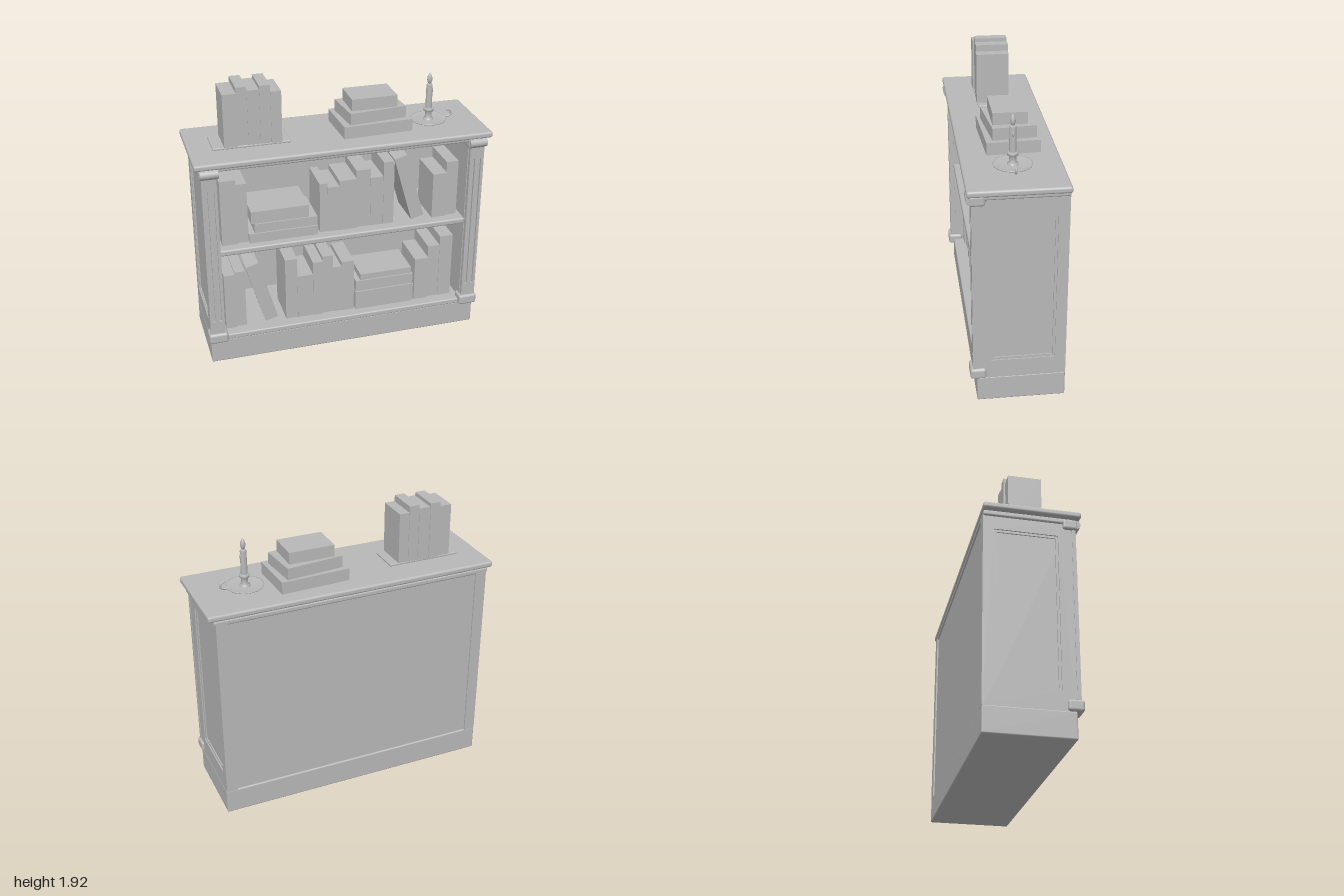
import * as THREE from 'three';
import { RoundedBoxGeometry } from 'three/addons/geometries/RoundedBoxGeometry.js';

export function createModel() {
  const root = new THREE.Group();
  const grey = new THREE.MeshStandardMaterial({ color: 0xb8b8b8 });
  grey.name = 'plain grey';

  const add = (name, geo, parent = root) => {
    const m = new THREE.Mesh(geo, grey);
    m.name = name;
    parent.add(m);
    return m;
  };
  // Box given by its extents; r rounds the edges
  const box = (name, x0, x1, y0, y1, z0, z1, r = 0, parent = root) => {
    const w = x1 - x0, h = y1 - y0, d = z1 - z0;
    const geo = r ? new RoundedBoxGeometry(w, h, d, 3, r) : new THREE.BoxGeometry(w, h, d);
    const m = add(name, geo, parent);
    m.position.set((x0 + x1) / 2, (y0 + y1) / 2, (z0 + z1) / 2);
    return m;
  };
  const rect = (a, b, c, d, T = THREE.Path) => {
    const p = new T();
    p.moveTo(a, c); p.lineTo(b, c); p.lineTo(b, d); p.lineTo(a, d); p.closePath();
    return p;
  };
  // Flat board with rectangular openings, each [x0, x1, y0, y1]
  const pierced = (outer, holes, depth) => {
    const s = rect(...outer, THREE.Shape);
    holes.forEach((h) => s.holes.push(rect(...h)));
    return new THREE.ExtrudeGeometry(s, { depth, bevelEnabled: false });
  };

  // Carcass
  box('plinth', -0.955, 0.955, 0, 0.175, -0.31, 0.26, 0.01);
  box('bottomShelf', -0.94, 0.94, 0.17, 0.21, -0.3, 0.265, 0.01);
  box('middleShelf', -0.86, 0.86, 0.818, 0.86, -0.29, 0.255, 0.012);
  box('backPanel', -0.9, 0.9, 0.17, 1.45, -0.3, -0.28);
  box('corniceMoulding', -0.965, 0.965, 1.44, 1.478, -0.31, 0.27, 0.012);
  box('topBoard', -1, 1, 1.475, 1.517, -0.315, 0.315, 0.015);

  // Sides with a recessed panel, pilasters and blocks, mirrored
  for (const s of [1, -1]) {
    const side = new THREE.Group();
    side.name = s > 0 ? 'leftSide' : 'rightSide';
    root.add(side);
    const span = (a, b) => (s > 0 ? [a, b] : [-b, -a]);
    const u = (z0, z1) => (s > 0 ? [-z1, -z0] : [z0, z1]);

    box('sidePanel', ...span(0.855, 0.937), 0.17, 1.45, -0.295, 0.25, 0, side);
    const frame = add('sideFrame', pierced([...u(-0.31, 0.25), 0.17, 1.45],
      [[...u(-0.24, 0.17), 0.3, 1.35]], 0.03), side);
    const bead = add('panelBead', pierced([...u(-0.24, 0.17), 0.3, 1.35],
      [[...u(-0.224, 0.154), 0.316, 1.334]], 0.022), side);
    for (const m of [frame, bead]) {
      m.rotation.y = s * Math.PI / 2;
      m.position.x = s * 0.923;
    }
    box('backStile', ...span(0.875, 0.95), 0.17, 1.45, -0.31, -0.285, 0, side);

    const fluteXs = [[0.877, 0.895], [0.92, 0.938]];
    const face = add('flutedPilaster', pierced([...span(0.858, 0.957), 0.24, 1.41],
      fluteXs.map((f) => [...span(...f), 0.34, 1.32]), 0.025), side);
    face.position.z = 0.26;
    box('pilasterCore', ...span(0.86, 0.953), 0.2, 1.45, 0.22, 0.268, 0, side);
    box('footBlock', ...span(0.84, 0.97), 0.173, 0.247, 0.2, 0.303, 0.018, side);
    box('capitalBlock', ...span(0.84, 0.97), 1.402, 1.475, 0.2, 0.3, 0.018, side);
    const roll = add('capitalRoll', new THREE.CylinderGeometry(0.03, 0.03, 0.12, 20), side);
    roll.rotation.z = Math.PI / 2;
    roll.position.set(s * 0.905, 1.44, 0.287);
  }

  // Upright books: [left, right, top]
  const uprights = (name, y, z0, z1, list) => list.forEach(([a, b, top], i) => {
    const shift = ((i * 3) % 4) * 0.004;
    box(name, a, b, y, top, z0 - shift, z1 - shift);
  });
  uprights('upperBook', 0.858, -0.09, 0.185, [
    [-0.83, -0.725, 1.33], [-0.725, -0.65, 1.29], [-0.16, -0.105, 1.22], [-0.105, -0.025, 1.19],
    [-0.025, 0.095, 1.23], [0.095, 0.195, 1.285], [0.195, 0.285, 1.22], [0.285, 0.36, 1.325],
    [0.64, 0.74, 1.19], [0.74, 0.825, 1.265]]);
  uprights('lowerBook', 0.208, -0.09, 0.19, [
    [-0.835, -0.76, 0.63], [-0.76, -0.69, 0.64], [-0.41, -0.325, 0.68], [-0.325, -0.215, 0.54],
    [-0.215, -0.145, 0.635], [-0.145, -0.07, 0.665], [-0.07, -0.01, 0.57], [-0.01, 0.08, 0.605],
    [0.53, 0.63, 0.54], [0.63, 0.715, 0.625], [0.715, 0.81, 0.695]]);
  uprights('topBook', 1.53, -0.108, 0.115, [
    [-0.77, -0.68, 1.89], [-0.68, -0.61, 1.925], [-0.61, -0.53, 1.9],
    [-0.53, -0.46, 1.925], [-0.46, -0.39, 1.88]]);

  // Leaning books
  for (const [x, y, h] of [[0.47, 1.112, 0.488], [-0.575, 0.453, 0.465]]) {
    const m = add('leaningBook', new THREE.BoxGeometry(0.092, h, 0.27));
    m.position.set(x, y, 0.045);
    m.rotation.z = 0.275;
  }

  // Lying books: [x0, x1, y0, y1, z0, z1]
  [[-0.65, -0.18, 0.858, 0.928, -0.14, 0.2], [-0.61, -0.18, 0.928, 0.992, -0.12, 0.19],
    [-0.63, -0.235, 0.992, 1.08, -0.12, 0.18], [0.09, 0.517, 0.208, 0.352, -0.12, 0.2],
    [0.095, 0.515, 0.352, 0.432, -0.1, 0.19], [0.13, 0.505, 0.432, 0.478, -0.09, 0.18],
  ].forEach((b) => box('lyingBook', ...b));

  // Stack on the top board, each book turned a little
  [[0.245, -0.02, 0.475, 0.345, 1.515, 1.6, 0.042], [0.245, -0.022, 0.395, 0.285, 1.6, 1.68, 0.1],
    [0.24, -0.018, 0.312, 0.225, 1.68, 1.76, 0],
  ].forEach(([x, z, w, d, y0, y1, turn]) => {
    const m = add('stackedBook', new THREE.BoxGeometry(w, y1 - y0, d));
    m.position.set(x, (y0 + y1) / 2, z);
    m.rotation.y = turn;
  });

  // Bookend plates
  box('bookendLeftPlate', -0.845, -0.58, 1.515, 1.531, -0.11, 0.11, 0.006);
  box('bookendRightPlate', -0.58, -0.33, 1.515, 1.531, -0.11, 0.11, 0.006);

  // Candlestick
  const candle = new THREE.Group();
  candle.name = 'candlestick';
  candle.position.set(0.655, 1.515, 0);
  root.add(candle);
  const lathe = (name, pts) => add(name,
    new THREE.LatheGeometry(pts.map((p) => new THREE.Vector2(...p)), 32), candle);
  lathe('dish', [[0, 0], [0.09, 0], [0.123, 0.012], [0.125, 0.018], [0.118, 0.019], [0.085, 0.01], [0, 0.01]]);
  lathe('candleCup', [[0.036, 0.008], [0.034, 0.02], [0.023, 0.03], [0.023, 0.065], [0.034, 0.075],
    [0.035, 0.09], [0.028, 0.095], [0, 0.095]]);
  lathe('candleStick', [[0.022, 0.09], [0.021, 0.255], [0.016, 0.265], [0, 0.265]]);
  lathe('flame', [[0, 0.26], [0.011, 0.27], [0.018, 0.292], [0.015, 0.315], [0.007, 0.333], [0, 0.342]]);
  const drip = add('waxDrip', new THREE.SphereGeometry(0.008, 12, 8), candle);
  drip.scale.y = 2.2;
  drip.position.set(0.019, 0.215, 0);
  const curve = new THREE.CatmullRomCurve3([[0.11, 0.014], [0.14, 0.015], [0.161, 0.026],
    [0.163, 0.045], [0.15, 0.06], [0.137, 0.064]].map(([x, y]) => new THREE.Vector3(x, y, 0)));
  add('curledHandle', new THREE.TubeGeometry(curve, 24, 0.007, 10), candle);
  const tip = add('handleTip', new THREE.SphereGeometry(0.008, 12, 8), candle);
  tip.position.set(0.137, 0.064, 0);

  return root;
}
